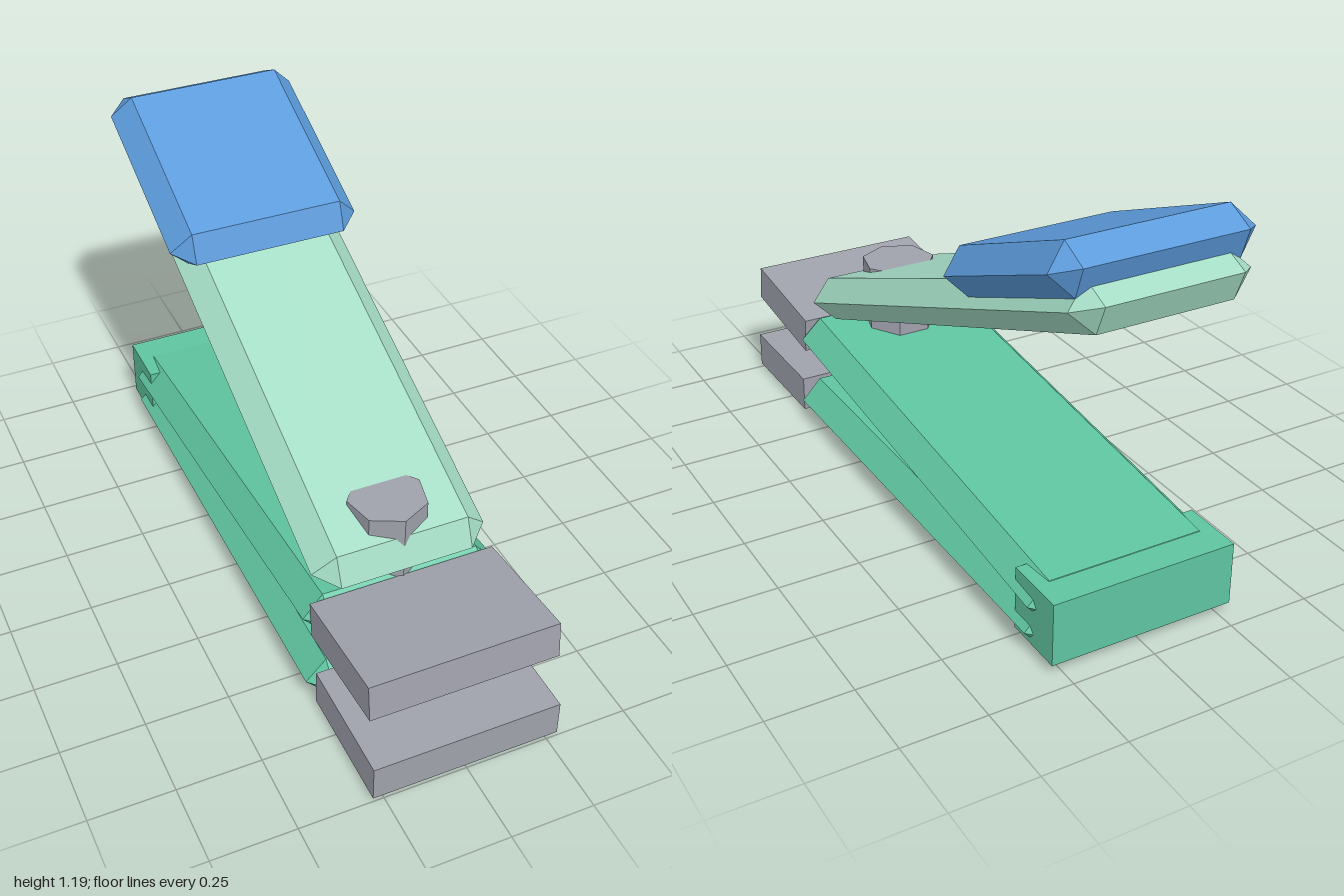
import * as THREE from 'three';
import { ConvexGeometry } from 'three/addons/geometries/ConvexGeometry.js';

const paint = (name, color) => {
  const m = new THREE.MeshStandardMaterial({ color });
  m.name = name;
  return m;
};

// Plate whose edges are chamfered all the way to its mid plane, with cut corners
function bevelledPlate(width, height, depth, bevel) {
  const x = width / 2, y = height / 2, z = depth / 2;
  const points = [];
  for (const sx of [-1, 1]) for (const sz of [-1, 1]) {
    points.push(new THREE.Vector3(sx * x, 0, sz * (z - bevel)));
    points.push(new THREE.Vector3(sx * (x - bevel), 0, sz * z));
    for (const sy of [-1, 1]) points.push(new THREE.Vector3(sx * (x - bevel), sy * y, sz * (z - bevel)));
  }
  return new ConvexGeometry(points);
}

export function createModel() {
  const group = new THREE.Group();
  const steel = paint('steel grey', 0x9fa1ab);
  const green = paint('green', 0x5fc4a0);
  const mint = paint('pale mint', 0xa4dcc5);
  const blue = paint('blue', 0x5c9bdb);

  const add = (name, geometry, material, y, z, tilt = 0) => {
    const mesh = new THREE.Mesh(geometry, material);
    mesh.name = name;
    mesh.position.set(0, y, z);
    mesh.rotation.x = tilt;
    group.add(mesh);
  };

  // Two spring arms joined by a block at the back
  add('lowerArm', bevelledPlate(0.6, 0.132, 1.55, 0.062), green, 0.066, -0.12);
  add('upperArm', bevelledPlate(0.6, 0.132, 1.55, 0.062), green, 0.227, -0.135, -0.1);
  add('rearBlock', new THREE.BoxGeometry(0.565, 0.19, 0.19), green, 0.125, -0.85);

  // Cutting jaws
  add('lowerJaw', new THREE.BoxGeometry(0.565, 0.113, 0.375), steel, 0.069, 0.8125);
  add('upperJaw', new THREE.BoxGeometry(0.565, 0.113, 0.375), steel, 0.321, 0.774, -0.105);

  // Pivot pin
  const pin = new THREE.CylinderGeometry(0.115, 0.115, 0.53, 7).toNonIndexed();
  pin.computeVertexNormals();
  add('pivotPin', pin, steel, 0.295, 0.472);

  // Raised lever and its thumb pad
  add('lever', bevelledPlate(0.53, 0.134, 1.739, 0.065), mint, 0.733, -0.195, 0.383);
  add('thumbPad', bevelledPlate(0.6, 0.14, 0.67, 0.062), blue, 1.02, -0.652, 0.39);

  return group;
}
